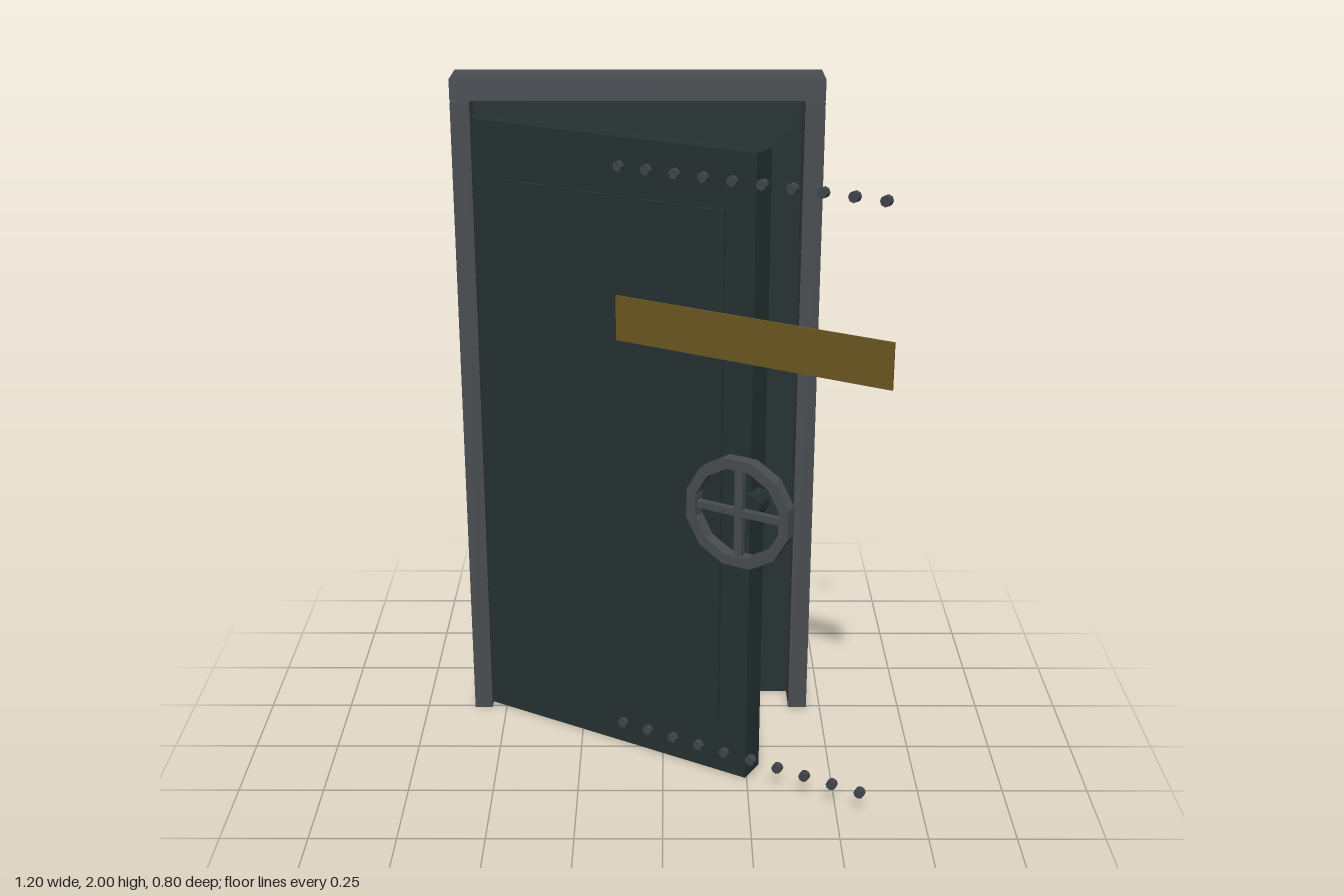
import * as THREE from 'three';

const material = (name, color) => {
  const m = new THREE.MeshStandardMaterial({ color });
  m.name = name;
  return m;
};

export function createModel() {
  const steel = material('greySteel', 0x484c50);
  const green = material('darkGreenPaint', 0x253231);
  const rivetSteel = material('rivetSteel', 0x41464b);
  const yellow = material('dullYellow', 0x6c5722);
  steel.flatShading = green.flatShading = rivetSteel.flatShading = true;

  const model = new THREE.Group();
  model.name = 'openVaultDoor';

  const add = (parent, name, geometry, mat, x = 0, y = 0, z = 0) => {
    const mesh = new THREE.Mesh(geometry, mat);
    mesh.name = name;
    mesh.position.set(x, y, z);
    parent.add(mesh);
    return mesh;
  };
  // Box given by its minimum and maximum corners
  const box = (parent, name, mat, [x0, y0, z0], [x1, y1, z1]) =>
    add(parent, name, new THREE.BoxGeometry(x1 - x0, y1 - y0, z1 - z0), mat,
      (x0 + x1) / 2, (y0 + y1) / 2, (z0 + z1) / 2);

  // Door frame with a closed back
  box(model, 'leftJamb', steel, [0.4, 0, -0.4], [0.457, 1.935, -0.24]);
  box(model, 'rightJamb', steel, [-0.6, 0, -0.4], [-0.545, 1.935, -0.24]);
  box(model, 'lintel', steel, [-0.6, 1.94, -0.4], [0.457, 2, -0.24]);
  box(model, 'backPanel', green, [-0.545, 0, -0.385], [0.4, 1.915, -0.345]);

  // Door leaf, swung open; local origin is the free front edge
  const door = new THREE.Group();
  door.name = 'door';
  door.position.set(0.245, 0, 0.18);
  door.rotation.y = -Math.PI / 6;
  model.add(door);
  box(door, 'doorLeaf', green, [-0.936, 0, -0.088], [0, 1.883, 0]);
  box(door, 'raisedPanel', green, [-0.846, 0.17, 0], [-0.09, 1.72, 0.008]);
  box(door, 'warningStrip', yellow, [-0.426, 1.307, 0.011], [0.417, 1.438, 0.017]);

  // Two rows of rivets
  const rivet = new THREE.CylinderGeometry(0.015, 0.015, 0.02, 8).rotateX(Math.PI / 2);
  for (const y of [0.07, 1.803]) {
    for (let i = 0; i < 10; i++) {
      add(door, 'rivet', rivet, rivetSteel, -0.024 + (i - 4.5) * 0.088, y, 0.004);
    }
  }

  // Handwheel: twelve-sided rim, crossed spokes and hub
  const wheel = new THREE.Group();
  wheel.name = 'handwheel';
  wheel.position.set(-0.004, 0.885, 0.056);
  door.add(wheel);
  const section = [[0.134, -0.019], [0.165, -0.019], [0.165, 0.019], [0.134, 0.019], [0.134, -0.019]]
    .map(([r, h]) => new THREE.Vector2(r, h));
  const rim = new THREE.LatheGeometry(section, 12).rotateY(Math.PI / 12).rotateX(Math.PI / 2);
  add(wheel, 'rim', rim, steel);
  add(wheel, 'uprightSpoke', new THREE.BoxGeometry(0.024, 0.28, 0.02), steel);
  add(wheel, 'levelSpoke', new THREE.BoxGeometry(0.28, 0.02, 0.02), steel);
  add(wheel, 'hub', new THREE.CylinderGeometry(0.04, 0.04, 0.06, 10).rotateX(Math.PI / 2), green, 0, 0, -0.075);

  return model;
}
